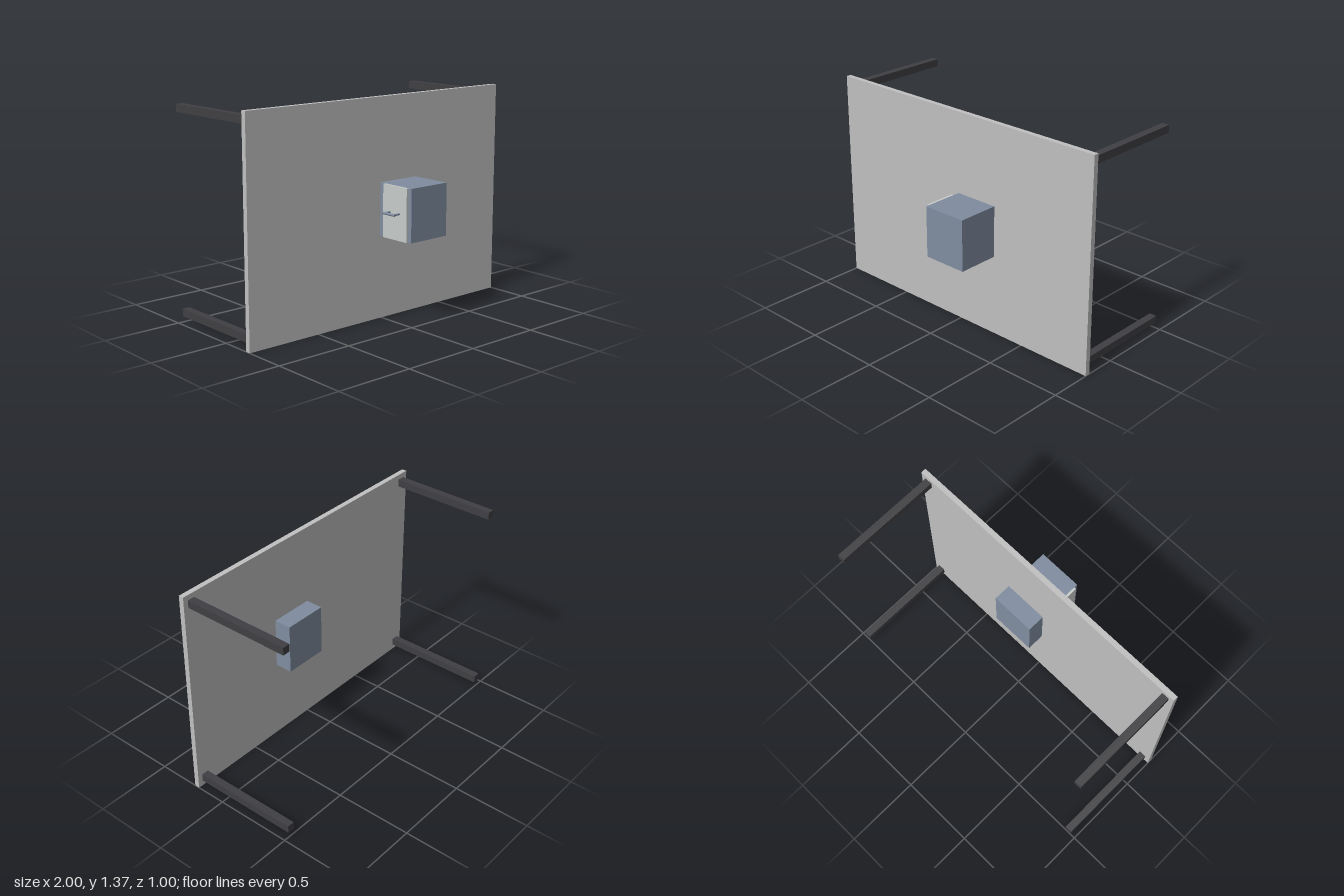
import * as THREE from 'three';

const material = (name, color) => {
  const m = new THREE.MeshStandardMaterial({ color });
  m.name = name;
  return m;
};

export function createModel() {
  const model = new THREE.Group();
  const panelGrey = material('panel grey', 0xc0c0c0);
  const legCharcoal = material('leg charcoal', 0x404044);
  const cabinetBlue = material('cabinet slate blue', 0x808da0);
  const frontGrey = material('drawer light grey', 0xc8ccca);

  // Box given by its lower and upper corners
  const box = (name, mat, [x0, y0, z0], [x1, y1, z1]) => {
    const mesh = new THREE.Mesh(new THREE.BoxGeometry(x1 - x0, y1 - y0, z1 - z0), mat);
    mesh.position.set((x0 + x1) / 2, (y0 + y1) / 2, (z0 + z1) / 2);
    mesh.name = name;
    model.add(mesh);
  };

  // Upright table top
  box('tableTop', panelGrey, [-1, 0, 0.197], [1, 1.367, 0.23]);

  // Four square legs pointing backwards
  for (const x of [-0.943, 0.943]) {
    for (const y of [0.06, 1.31]) {
      box('leg', legCharcoal, [x - 0.024, y - 0.024, -0.5], [x + 0.024, y + 0.024, 0.197]);
    }
  }

  // Cabinet passing through the top, with its drawer front on the side
  box('cabinet', cabinetBlue, [-0.012, 0.522, 0.083], [0.28, 0.85, 0.5]);
  box('drawerFront', frontGrey, [-0.027, 0.522, 0.272], [-0.012, 0.85, 0.475]);

  // Round bar handle on two posts
  const handle = new THREE.Group();
  handle.name = 'drawerHandle';
  handle.position.set(-0.074, 0.687, 0.372);
  const bar = new THREE.Mesh(new THREE.CylinderGeometry(0.008, 0.008, 0.104, 16), cabinetBlue);
  bar.name = 'handleBar';
  bar.rotation.x = Math.PI / 2;
  handle.add(bar);
  for (const z of [-0.041, 0.041]) {
    const post = new THREE.Mesh(new THREE.CylinderGeometry(0.006, 0.006, 0.048, 12), cabinetBlue);
    post.name = 'handlePost';
    post.rotation.z = Math.PI / 2;
    post.position.set(0.024, 0, z);
    handle.add(post);
  }
  model.add(handle);

  return model;
}
